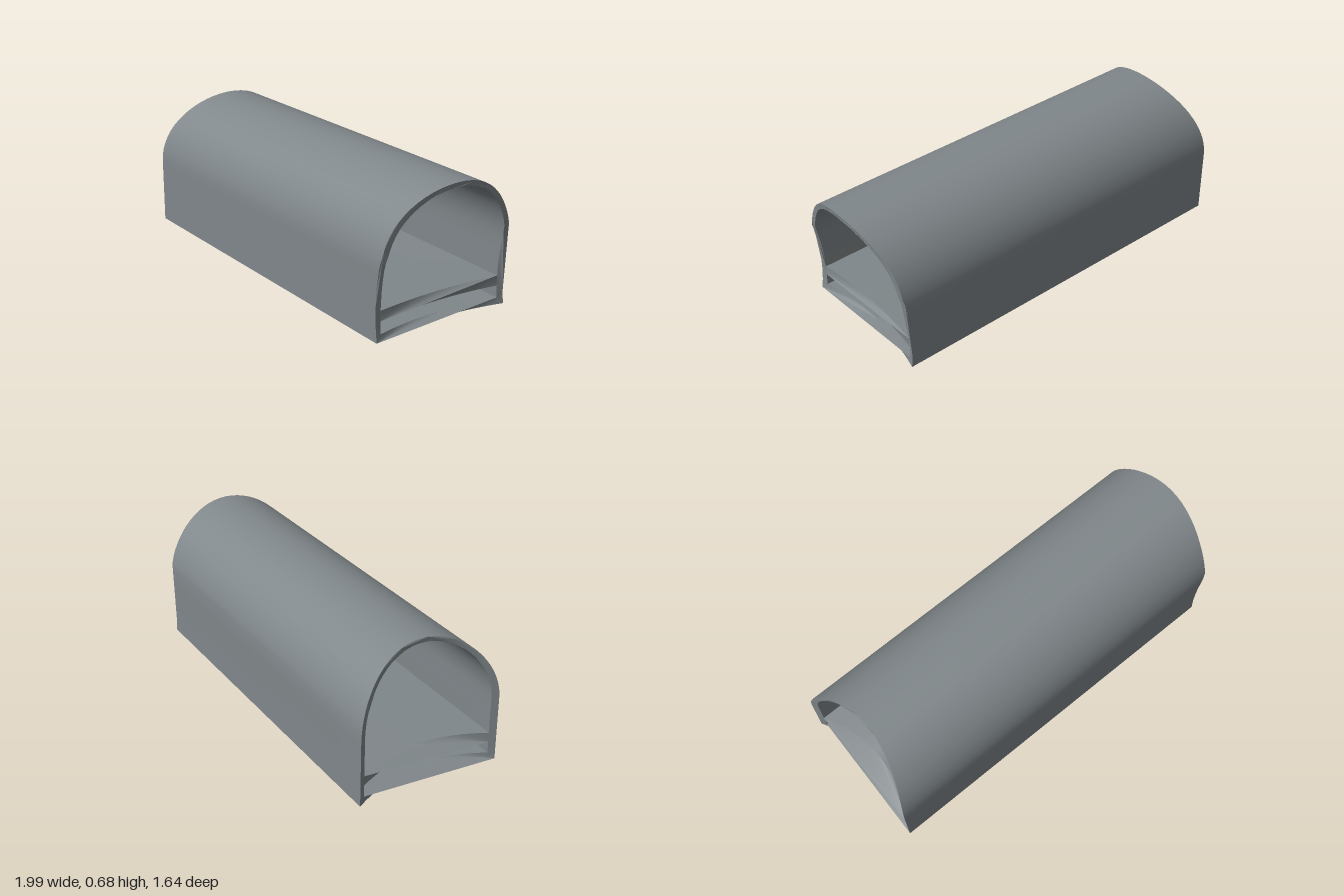
import * as THREE from 'three';
import { toCreasedNormals } from 'three/addons/utils/BufferGeometryUtils.js';

const HALF_W = 0.365, SPRING = 0.33, HALF_L = 0.951;

// Arch outline: flat base divided across its width, straight walls, rounded roof
function archPoints(halfW, base, topY) {
  const pts = [];
  for (let i = 0; i <= 16; i++) pts.push(new THREE.Vector2(-halfW + (2 * halfW * i) / 16, base));
  for (let i = 1; i < 6; i++) pts.push(new THREE.Vector2(halfW, base + ((SPRING - base) * i) / 6));
  for (let i = 0; i <= 32; i++) {
    const a = (Math.PI * i) / 32;
    pts.push(new THREE.Vector2(halfW * Math.cos(a), SPRING + (topY - SPRING) * Math.sin(a)));
  }
  for (let i = 5; i > 0; i--) pts.push(new THREE.Vector2(-halfW, base + ((SPRING - base) * i) / 6));
  return pts;
}

// Slab outline, divided across its width
function slabPoints(halfW, y0, y1) {
  const pts = [];
  for (let i = 0; i <= 16; i++) pts.push(new THREE.Vector2(-halfW + (2 * halfW * i) / 16, y0));
  for (let i = 16; i >= 0; i--) pts.push(new THREE.Vector2(-halfW + (2 * halfW * i) / 16, y1));
  return pts;
}

// Scooped rear end
function rearEnd(u, y) {
  return -HALF_L + 0.11 * (1 - (u / HALF_W) ** 2);
}

// Front end: scooped at the floor, bulging at the roof, walls set back low down
function frontEnd(u, y) {
  const w = 1 - (u / HALF_W) ** 2;
  const t = Math.min(y / 0.4, 1);
  const edge = -0.02 * (1 - t) - 0.08 * t * (1 - t);
  return HALF_L + edge + w * (-0.05 + 0.11 * (y / 0.68));
}

// Extrude a profile and fit both ends to the curved cuts
function cutExtrusion(shape) {
  const geo = new THREE.ExtrudeGeometry(shape, { depth: 1, bevelEnabled: false, steps: 1 });
  const p = geo.attributes.position;
  for (let i = 0; i < p.count; i++) {
    const u = p.getX(i), y = p.getY(i);
    p.setZ(i, p.getZ(i) > 0.5 ? frontEnd(u, y) : rearEnd(u, y));
  }
  return toCreasedNormals(geo, 0.5);
}

export function createModel() {
  const grey = new THREE.MeshStandardMaterial({ color: 0x80878a });
  grey.name = 'grey';
  const group = new THREE.Group();
  group.name = 'tunnel';

  // Arched outer shell with a thin base
  const outline = new THREE.Shape(archPoints(HALF_W, 0, 0.68));
  outline.holes.push(new THREE.Path(archPoints(0.335, 0.032, 0.657).reverse()));
  const shell = new THREE.Mesh(cutExtrusion(outline), grey);
  shell.name = 'tunnelShell';

  // Raised floor leaving a slot above the base
  const floor = new THREE.Mesh(cutExtrusion(new THREE.Shape(slabPoints(0.337, 0.09, 0.14))), grey);
  floor.name = 'floorSlab';

  // The tunnel runs diagonally
  const body = new THREE.Group();
  body.name = 'tunnelBody';
  body.add(shell, floor);
  body.rotation.y = Math.atan2(0.8, 0.516);
  group.add(body);
  return group;
}
